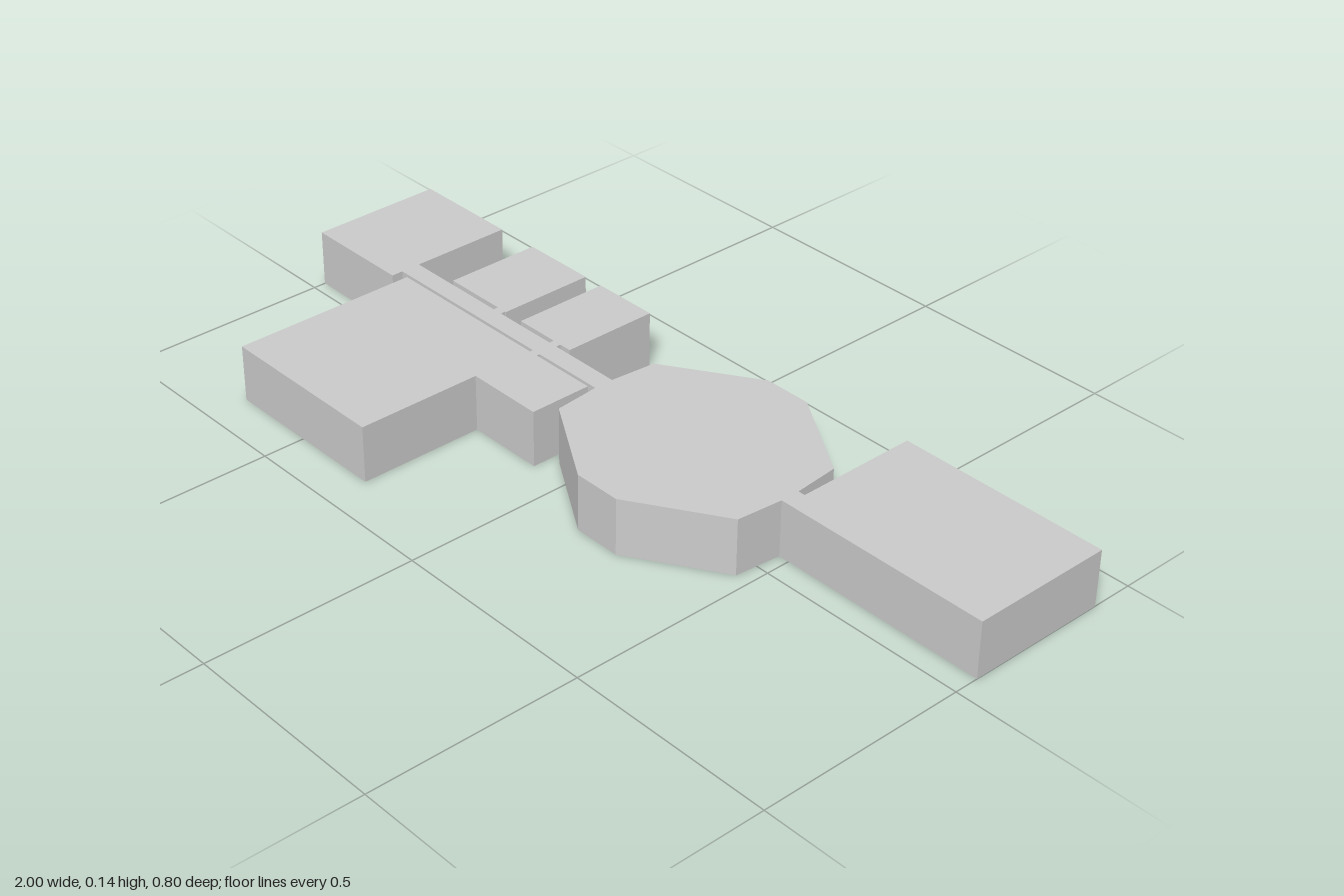
import * as THREE from 'three';

const HEIGHT = 0.135;

export function createModel() {
  const model = new THREE.Group();
  const material = new THREE.MeshStandardMaterial({ color: 0xcccccc, flatShading: true });

  // Raise a floor-plan outline of [x, z] corners into a solid block
  function block(name, corners) {
    const shape = new THREE.Shape(corners.map(([x, z]) => new THREE.Vector2(x, -z)));
    const geometry = new THREE.ExtrudeGeometry(shape, { depth: HEIGHT, bevelEnabled: false });
    geometry.rotateX(-Math.PI / 2);
    const mesh = new THREE.Mesh(geometry, material);
    mesh.name = name;
    model.add(mesh);
  }

  // Rectangular block between two plan corners
  const room = (name, x0, x1, z0, z1) =>
    block(name, [[x0, z0], [x0, z1], [x1, z1], [x1, z0]]);

  // Rooms along the back of the corridor
  room('endRoom', -1, -0.735, -0.35, -0.03);
  room('smallRoomOuter', -0.627, -0.443, -0.35, -0.117);
  room('smallRoomInner', -0.392, -0.23, -0.35, -0.117);

  // Corridor and its narrow doorways
  room('corridor', -0.735, -0.08, -0.105, -0.058);
  room('doorwayOuter', -0.47, -0.446, -0.117, -0.105);
  room('doorwayInner', -0.282, -0.26, -0.117, -0.105);
  room('doorwayFront', -0.282, -0.26, -0.058, -0.05);

  // L-shaped room in front of the corridor
  block('cornerRoom', [
    [-0.708, -0.05], [-0.708, 0.4], [-0.283, 0.4],
    [-0.283, 0.1], [-0.095, 0.1], [-0.095, -0.05],
  ]);

  // Many-sided hall, mirrored about its own centre line
  const centre = 0.197;
  const half = [[0.057, -0.35], [0.267, -0.215], [0.277, -0.105], [0.277, -0.058], [0.267, 0.052], [0.057, 0.183]];
  block('hall', [
    ...half.map(([x, z]) => [centre + x, z]),
    ...half.map(([x, z]) => [centre - x, z]).reverse(),
  ]);

  // Large room joined to the hall by a short passage
  room('passage', 0.474, 0.491, -0.105, -0.058);
  room('largeRoom', 0.491, 1, -0.4, -0.058);

  return model;
}
